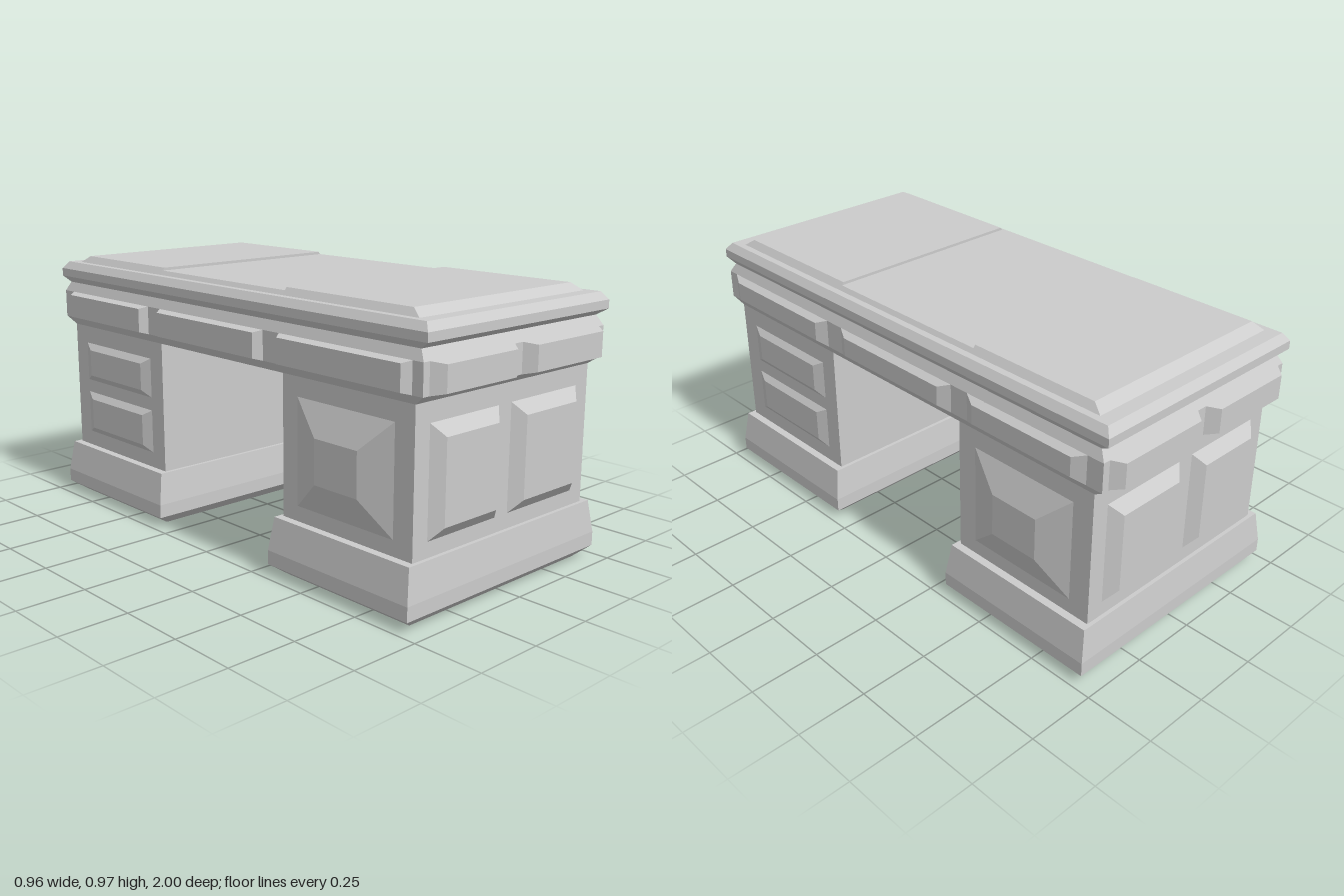
import * as THREE from 'three';

const material = new THREE.MeshStandardMaterial({ color: 0xcccccc, flatShading: true });

// Closed solid through rectangular sections [x0, x1, y0, y1, z] stacked along +z
function loft(sections) {
  const pos = [];
  const corners = ([x0, x1, y0, y1, z]) => [[x0, y0, z], [x1, y0, z], [x1, y1, z], [x0, y1, z]];
  const quad = (a, b, c, d) => pos.push(...a, ...b, ...c, ...a, ...c, ...d);
  const rings = sections.map(corners);
  for (let i = 0; i < rings.length - 1; i++) {
    for (let k = 0; k < 4; k++) {
      const n = (k + 1) % 4;
      quad(rings[i][k], rings[i][n], rings[i + 1][n], rings[i + 1][k]);
    }
  }
  const first = rings[0], last = rings[rings.length - 1];
  quad(first[3], first[2], first[1], first[0]);
  quad(last[0], last[1], last[2], last[3]);
  const g = new THREE.BufferGeometry();
  g.setAttribute('position', new THREE.Float32BufferAttribute(pos, 3));
  return g;
}

export function createModel() {
  const desk = new THREE.Group();
  desk.name = 'desk';

  const add = (name, geometry) => {
    geometry.computeVertexNormals();
    const mesh = new THREE.Mesh(geometry, material);
    mesh.name = name;
    desk.add(mesh);
  };

  // Upright solid; sections are [halfWidth, zBack, zFront, y]
  const upright = (name, sections) =>
    add(name, loft(sections.map(([hx, zb, zf, y]) => [-hx, hx, -zf, -zb, y])).rotateX(-Math.PI / 2));

  // Raised panel on an end; dir = 1 front, -1 back
  const endPanel = (name, dir, [x0, x1, y0, y1], dx, dy, zBase, zFace) => {
    const [a, b] = dir > 0 ? [x0, x1] : [-x1, -x0];
    const g = loft([[a, b, y0, y1, zBase - 0.01], [a, b, y0, y1, zBase],
      [a + dx, b - dx, y0 + dy, y1 - dy, zFace]]);
    add(name, dir > 0 ? g : g.rotateY(Math.PI));
  };

  // Raised panel on a long side; dir = 1 left (+x), -1 right
  const sidePanel = (name, dir, [z0, z1, y0, y1], dz, dy, xBase, xFace) => {
    const [a, b] = dir > 0 ? [-z1, -z0] : [z0, z1];
    const g = loft([[a, b, y0, y1, xBase - 0.01], [a, b, y0, y1, xBase],
      [a + dz, b - dz, y0 + dy, y1 - dy, xFace]]);
    add(name, g.rotateY(dir * Math.PI / 2));
  };

  // Pedestals with flared plinths
  for (const [name, zb, zf] of [['front', 0.34, 0.92], ['back', -0.92, -0.335]]) {
    upright(name + 'Pedestal', [[0.43, zb, zf, 0.15], [0.43, zb, zf, 0.71]]);
    upright(name + 'Plinth', [
      [0.42, zb + 0.015, zf - 0.015, 0],
      [0.478, zb - 0.027, zf + 0.028, 0.04],
      [0.478, zb - 0.027, zf + 0.028, 0.09],
      [0.459, zb - 0.014, zf + 0.014, 0.207],
    ]);
  }

  // Apron, neck and moulded cornice in one profile: [halfWidth, halfLength, y]
  upright('apronAndCornice', [
    [0.43, 0.92, 0.697], [0.447, 0.962, 0.727], [0.447, 0.962, 0.83], [0.433, 0.94, 0.865],
    [0.449, 0.977, 0.888], [0.449, 0.977, 0.918], [0.43, 0.955, 0.945],
  ].map(([hx, hz, y]) => [hx, -hz, hz, y]));

  // Desktop: raised, bevelled end leaves and a slightly lower middle
  upright('frontTopLeaf', [[0.405, 0.31, 0.905, 0.944], [0.386, 0.31, 0.865, 0.97]]);
  upright('backTopLeaf', [[0.405, -0.905, -0.365, 0.944], [0.386, -0.865, -0.365, 0.97]]);
  upright('middleTopLeaf', [[0.405, -0.365, 0.31, 0.944], [0.393, -0.365, 0.31, 0.96]]);

  // End panels: doors below, drawer fronts in the apron
  for (const dir of [1, -1]) {
    const end = dir > 0 ? 'front' : 'back';
    endPanel(end + 'DoorPanel', dir, [-0.365, -0.044, 0.26, 0.63], 0.038, 0.043, 0.92, 0.955);
    endPanel(end + 'DoorPanel', dir, [0.02, 0.365, 0.26, 0.63], 0.04, 0.043, 0.92, 0.955);
    endPanel(end + 'DrawerFront', dir, [-0.42, -0.03, 0.727, 0.83], 0.033, 0.008, 0.962, 1);
    endPanel(end + 'DrawerFront', dir, [0.01, 0.42, 0.727, 0.83], 0.031, 0.008, 0.962, 1);
  }

  // Side panels: drawer pair on one pedestal, deep pyramid panel on the other
  for (const dir of [1, -1]) {
    const side = dir > 0 ? 'left' : 'right';
    const alongZ = (z0, z1) => (dir > 0 ? [z0, z1] : [-z1, -z0]);
    for (const [y0, y1] of [[0.48, 0.63], [0.265, 0.43]]) {
      sidePanel(side + 'PedestalDrawer', dir, [...alongZ(0.41, 0.845), y0, y1], 0.045, 0.024, 0.43, 0.446);
    }
    sidePanel(side + 'PyramidPanel', dir, [...alongZ(-0.84, -0.41), 0.26, 0.63], 0.12, 0.108, 0.43, 0.468);

    // Long apron panels, softly bevelled on the left and squarer on the right
    for (const [z0, z1] of [[0.34, 0.92], [-0.315, 0.26], [-0.9, -0.39]]) {
      if (dir > 0) sidePanel('leftApronPanel', 1, [z0, z1, 0.727, 0.83], 0.045, 0.017, 0.447, 0.469);
      else sidePanel('rightApronPanel', -1, [z0, z1, 0.727, 0.83], 0.02, 0.008, 0.447, 0.476);
    }
  }

  return desk;
}
